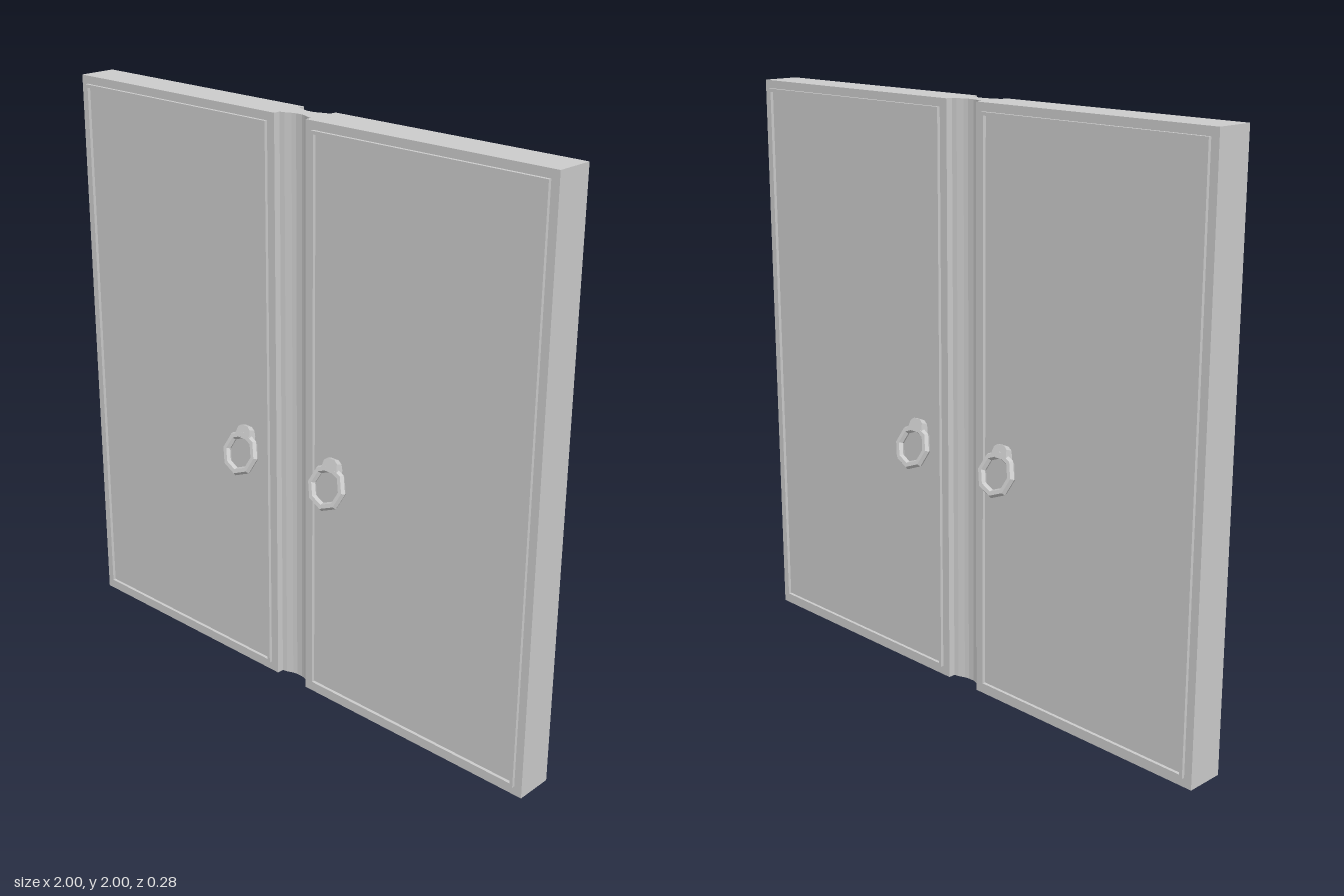
import * as THREE from 'three';

const material = new THREE.MeshStandardMaterial({ color: 0xcccccc, flatShading: true });

function addMesh(parent, name, geometry) {
  const mesh = new THREE.Mesh(geometry, material);
  mesh.name = name;
  parent.add(mesh);
  return mesh;
}

// Closed rectangle, as a Shape or a Path for a hole
function rectangle(Type, x0, y0, x1, y1) {
  return new Type([[x0, y0], [x1, y0], [x1, y1], [x0, y1]].map(([x, y]) => new THREE.Vector2(x, y)));
}

// Both leaves and the thin scooped joint between them: one plan outline extruded upwards
function doorGeometry() {
  const quarter = [[1, 0.067], [0.067, 0.067], [0.067, 0.043], [0.05, 0.039], [0.028, 0.03], [0.012, 0.026]];
  const half = [...quarter, ...quarter.map(([x, z]) => [-x, z]).reverse()];
  const outline = [...half, ...half.map(([x, z]) => [x, -z]).reverse()];
  const shape = new THREE.Shape(outline.map(([x, z]) => new THREE.Vector2(x, z)));
  const geometry = new THREE.ExtrudeGeometry(shape, { depth: 2, bevelEnabled: false });
  return geometry.rotateX(-Math.PI / 2);
}

// Thin raised border running round one leaf
function trimGeometry() {
  const shape = rectangle(THREE.Shape, 0.098, 0.032, 0.972, 1.972);
  shape.holes.push(rectangle(THREE.Path, 0.109, 0.043, 0.961, 1.961));
  return new THREE.ExtrudeGeometry(shape, { depth: 0.018, bevelEnabled: false }).translate(0, 0, 0.06);
}

// Tilted ring pull hanging from a small tab
function createHandle() {
  const handle = new THREE.Group();
  handle.name = 'ringHandle';
  addMesh(handle, 'ring', new THREE.TorusGeometry(0.066, 0.014, 6, 8));
  const tab = new THREE.Shape([
    [-0.035, 0.052], [0.035, 0.052], [0.028, 0.086], [0.015, 0.096], [-0.015, 0.096], [-0.028, 0.086],
  ].map(([x, y]) => new THREE.Vector2(x, y)));
  addMesh(handle, 'handleTab',
    new THREE.ExtrudeGeometry(tab, { depth: 0.03, bevelEnabled: false }).translate(0, 0, -0.018));
  handle.position.set(0.2, 0.828, 0.106);
  handle.rotation.x = -0.33;
  return handle;
}

export function createModel() {
  const model = new THREE.Group();
  model.name = 'doubleDoor';
  addMesh(model, 'doorLeaves', doorGeometry());

  // Same fittings on the front and the back
  for (const [i, side] of ['front', 'back'].entries()) {
    const face = new THREE.Group();
    face.name = side + 'Fittings';
    face.rotation.y = i * Math.PI;
    for (const s of [1, -1]) {
      const trim = addMesh(face, 'panelTrim', trimGeometry());
      if (s < 0) trim.position.x = -1.07;
      const handle = createHandle();
      handle.position.x *= s;
      face.add(handle);
    }
    model.add(face);
  }
  return model;
}
